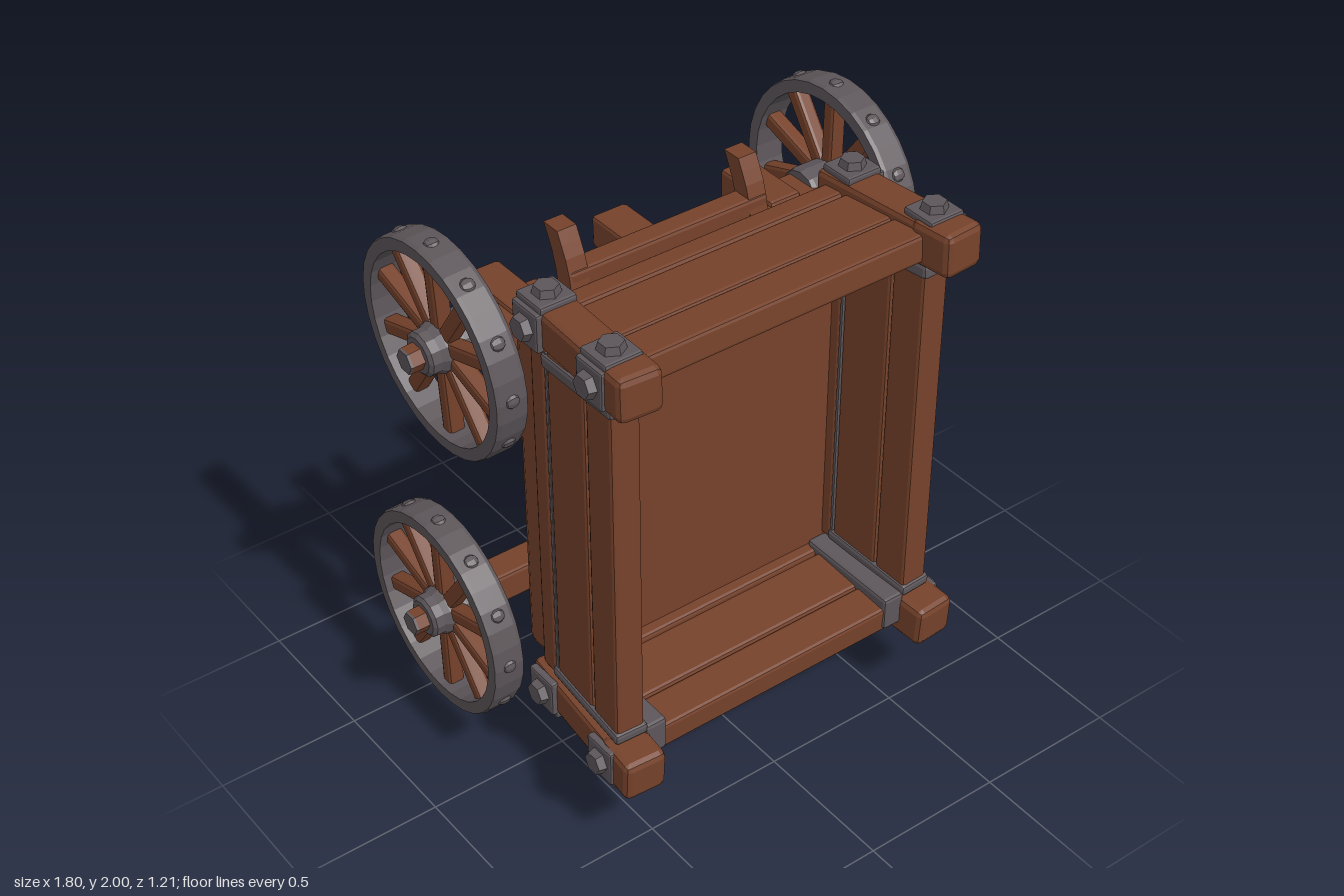
import * as THREE from 'three';
import { RoundedBoxGeometry } from 'three/addons/geometries/RoundedBoxGeometry.js';

export function createModel() {
  const model = new THREE.Group();
  model.name = 'uprightCart';
  const wood = new THREE.MeshStandardMaterial({ color: 0x76422b, flatShading: true });
  wood.name = 'wood';
  const iron = new THREE.MeshStandardMaterial({ color: 0x5d565a, flatShading: true });
  iron.name = 'iron';

  const add = (name, geo, mat, parent = model) => {
    const m = new THREE.Mesh(geo, mat);
    m.name = name;
    parent.add(m);
    return m;
  };
  // Bevelled box centred on its own origin
  const block = (w, h, d, bevel = 0.012) => {
    const g = new RoundedBoxGeometry(w, h, d, 1, Math.min(bevel, w / 3, h / 3, d / 3));
    g.computeVertexNormals();
    return g;
  };
  // Box from its bounds
  const box = (name, mat, x0, x1, y0, y1, z0, z1, bevel) => {
    const m = add(name, block(x1 - x0, y1 - y0, z1 - z0, bevel), mat);
    m.position.set((x0 + x1) / 2, (y0 + y1) / 2, (z0 + z1) / 2);
    return m;
  };
  // Box placed on side s, centred at distance x with half width r
  const sideBox = (name, mat, s, x, r, ...rest) => box(name, mat, s * x - r, s * x + r, ...rest);
  // Bar running between two points
  const bar = (name, mat, a, b, w, h, bevel) => {
    const p = new THREE.Vector3(...a), q = new THREE.Vector3(...b);
    const m = add(name, block(w, h, p.distanceTo(q), bevel), mat);
    m.position.copy(p).add(q).multiplyScalar(0.5);
    m.lookAt(q);
    return m;
  };
  // Iron plate with a hexagonal bolt, facing local +y
  const boltPlate = (pos, rot) => {
    const g = new THREE.Group();
    g.name = 'boltPlate';
    add('plate', block(0.13, 0.028, 0.125, 0.008), iron, g);
    add('hexBolt', new THREE.CylinderGeometry(0.038, 0.045, 0.028, 6), iron, g).position.y = 0.026;
    g.position.set(...pos);
    g.rotation.z = rot;
    model.add(g);
  };

  // Body: floor, leaning side walls and end walls
  box('floor', wood, -0.52, 0.52, 0.42, 1.78, 0.07, 0.11);
  const planks = [[0.365, 0.5], [0.16, 0.36], [0.07, 0.15]];
  const lean = 0.05;
  for (const s of [-1, 1]) {
    for (const [z0, z1] of planks) {
      const z = (z0 + z1) / 2, d = z1 - z0;
      const side = add('sidePlank', block(0.1, 1.27, d), wood);
      side.position.set(s * (0.555 + (z - 0.07) * lean), 1.11, z);
      side.rotation.y = s * lean;
      const end = add('endPlank', block(1.05 + 0.1 * z, 0.095, d), wood);
      end.position.set(0, s > 0 ? 1.785 + z * 0.06 : 0.415 - z * 0.06, z);
      end.rotation.x = -s * 0.06;
    }
    // Iron seam, strips at both ends of the side wall, and the lower inside corner
    sideBox('ironSeam', iron, s, 0.559, 0.051, 0.5, 1.73, 0.149, 0.161);
    for (const [y, tilt, h] of [[1.715, -0.08, 0.05], [0.487, 0.06, 0.04]]) {
      const strip = add('ironStrip', block(0.118, h, 0.37), iron);
      strip.position.set(s * 0.568, y, 0.325);
      strip.rotation.set(tilt, s * lean, 0);
    }
    sideBox('innerCornerIron', iron, s, 0.485, 0.04, 0.35, 0.475, 0.11, 0.51);
    // Rounded back column closing the side wall
    sideBox('backColumn', wood, s, 0.525, 0.055, 0.47, 1.74, -0.055, 0.085, 0.032);
    for (const y of [0.55, 1.62]) sideBox('floorSpacer', wood, s, 0.39, 0.015, y - 0.05, y + 0.05, -0.08, 0.08);

    // Corner posts with bolted plates
    for (const t of [-1, 1]) {
      const at = z => [s * (0.55 + z * 0.068), t > 0 ? 1.808 + z * 0.03 : 0.408 - z * 0.06, z];
      bar('cornerPost', wood, at(0.03), at(0.52), 0.13, 0.13, 0.018);
      bar('cornerPostHead', wood, at(0.44), at(0.6), 0.148, 0.148, 0.022);
      for (const z of [0.11, 0.455]) {
        const [x, y] = at(z);
        boltPlate([x + s * 0.008, y + t * 0.072, z], t > 0 ? 0 : Math.PI);
        boltPlate([x + s * 0.074, y, z], -s * Math.PI / 2);
      }
    }
  }

  // Undercarriage: two bent rails (profile x becomes z) joined by boards
  const path = new THREE.CatmullRomCurve3([[1.91, -0.145], [1.8, -0.095], [1.6, -0.068],
    [1.3, -0.092], [0.95, -0.115], [0.6, -0.11], [0.32, -0.085]].map(([y, z]) => new THREE.Vector3(0, y, z)));
  const spine = path.getPoints(16);
  const profile = new THREE.Shape([
    ...spine.map(p => new THREE.Vector2(p.z - 0.035, p.y)),
    ...spine.slice().reverse().map(p => new THREE.Vector2(p.z + 0.035, p.y)),
  ]);
  for (const s of [-1, 1]) {
    const rail = add('chassisRail', new THREE.ExtrudeGeometry(profile, { depth: 0.068, bevelEnabled: false }), wood);
    rail.rotation.y = -Math.PI / 2;
    rail.position.x = s * 0.336 + 0.03;
  }
  box('upperCrossbar', wood, -0.37, 0.37, 1.69, 1.79, -0.13, -0.05);
  box('backPanel', wood, -0.3, 0.3, 1.17, 1.54, -0.115, -0.075);
  box('lowerCrossbar', wood, -0.37, 0.37, 0.48, 0.6, -0.13, -0.05);
  box('centreBlock', wood, -0.065, 0.065, 1.6, 1.71, -0.38, -0.06);

  // Axles: short stubs above, a two-piece beam with a stiffening board below
  for (const s of [-1, 1]) {
    sideBox('upperAxleStub', wood, s, 0.51, 0.135, 1.58, 1.69, -0.23, -0.05);
    sideBox('axleClamp', wood, s, 0.485, 0.06, 1.57, 1.705, -0.36, -0.1);
    sideBox('lowerAxleClamp', wood, s, 0.29, 0.053, 0.505, 0.65, -0.315, -0.05);
  }
  for (const [x0, x1] of [[-0.65, -0.24], [-0.2, 0.65]]) box('lowerAxle', wood, x0, x1, 0.52, 0.63, -0.305, -0.195);
  box('lowerAxleBoard', wood, -0.2, 0.27, 0.525, 0.61, -0.2, -0.12);

  // Wheels, built around local y with +y facing outward
  const points = list => list.map(p => new THREE.Vector2(...p));
  const rimProfile = points([[0.314, -0.053], [0.355, -0.053], [0.36, -0.04], [0.36, 0.04],
    [0.355, 0.053], [0.314, 0.053], [0.314, -0.053]]);
  const hubProfile = points([[0, -0.13], [0.082, -0.13], [0.088, -0.115], [0.088, -0.03], [0.083, 0.03],
    [0.073, 0.05], [0.073, 0.08], [0.06, 0.09], [0, 0.09]]);
  const makeWheel = (name, s, x, y, z, tilt) => {
    const w = new THREE.Group();
    w.name = name;
    add('rim', new THREE.LatheGeometry(rimProfile, 32), iron, w);
    add('hub', new THREE.LatheGeometry(hubProfile, 12), iron, w);
    add('axleTip', new THREE.CylinderGeometry(0.042, 0.044, 0.08, 6), wood, w).position.y = 0.09;
    add('axleCap', new THREE.CylinderGeometry(0.04, 0.042, 0.008, 6), iron, w).position.y = 0.134;
    for (let i = 0; i < 10; i++) {
      const a = i / 10 * Math.PI * 2;
      const spoke = add('spoke', block(0.26, 0.054, 0.053, 0.012), wood, w);
      spoke.position.set(Math.cos(a) * 0.195, 0, Math.sin(a) * 0.195);
      spoke.rotation.y = -a;
    }
    for (let i = 0; i < 12; i++) {
      const a = i / 12 * Math.PI * 2;
      const rivet = add('rivet', new THREE.SphereGeometry(0.024, 8, 5), iron, w);
      rivet.position.set(Math.cos(a) * 0.357, 0, Math.sin(a) * 0.357);
      rivet.rotation.y = -a;
      rivet.scale.x = 0.55;
    }
    w.position.set(s * x, y, z);
    w.rotation.z = -s * Math.PI / 2 + tilt;
    model.add(w);
  };
  makeWheel('upperRightWheel', -1, 0.745, 1.635, -0.172, 0.05);
  makeWheel('upperLeftWheel', 1, 0.728, 1.635, -0.172, -0.015);
  makeWheel('lowerRightWheel', -1, 0.763, 0.578, -0.238, 0.02);
  makeWheel('lowerLeftWheel', 1, 0.76, 0.578, -0.238, 0);

  // Iron tow frame and wooden coupling knob
  box('towBar', iron, -0.385, 0.365, 0.305, 0.405, -0.125, -0.045);
  for (const s of [-1, 1]) {
    box('towBracket', iron, s * 0.345 - 0.04, s * 0.345 + 0.028, 0.23, 0.43, -0.13, -0.04);
    bar('towArm', iron, [s * 0.33, 0.29, -0.08], [s * 0.04, 0.07, -0.085], 0.06, 0.043, 0.006);
  }
  add('towPin', new THREE.CylinderGeometry(0.012, 0.012, 0.2, 6), iron).position.set(0, 0.175, -0.085);
  box('towKnob', wood, -0.06, 0.057, 0.008, 0.118, -0.135, -0.035);

  return model;
}
